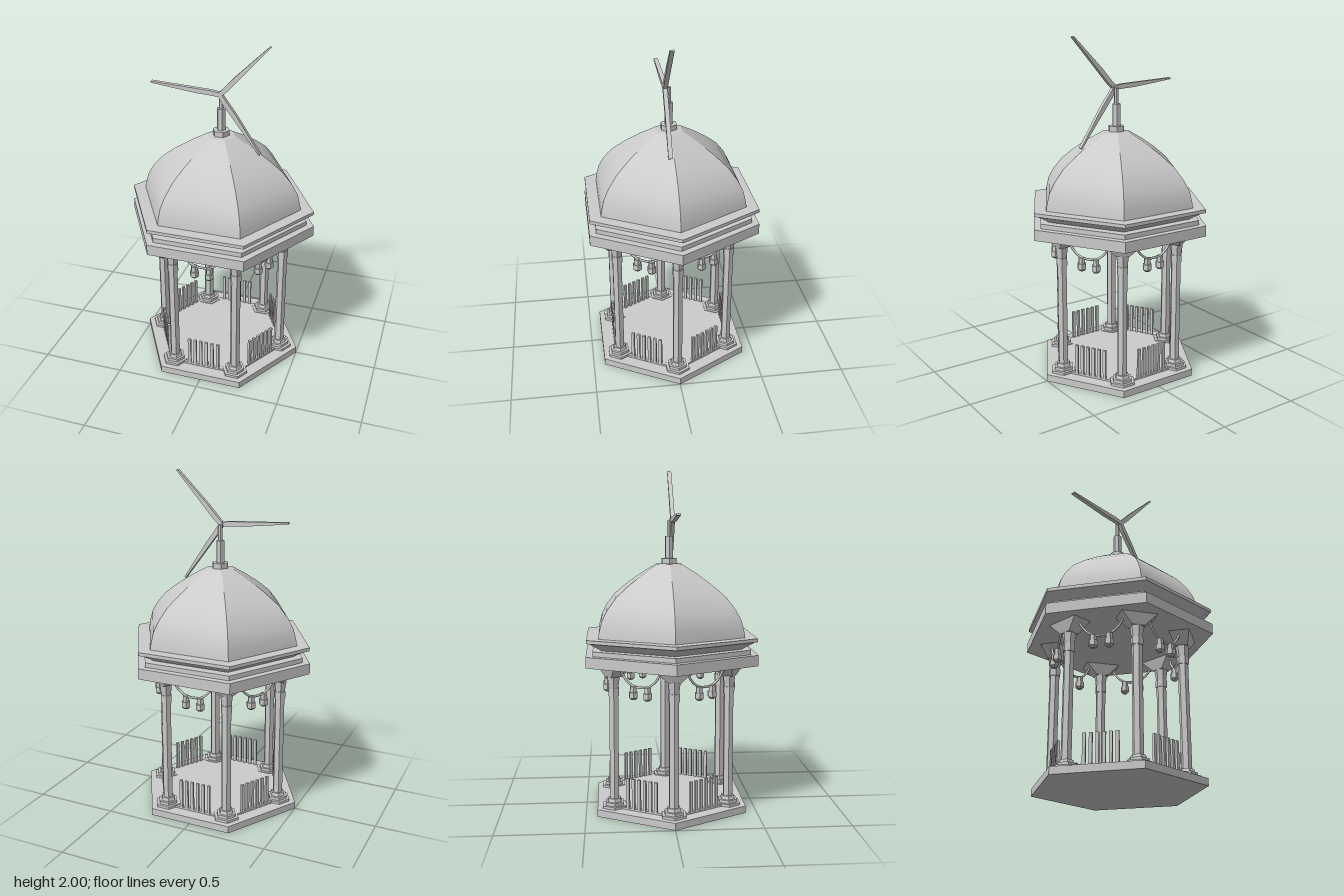
import * as THREE from 'three';
import { toCreasedNormals } from 'three/addons/utils/BufferGeometryUtils.js';

const flat = new THREE.MeshStandardMaterial({ color: 0xcccccc, flatShading: true });
const smooth = new THREE.MeshStandardMaterial({ color: 0xcccccc });

function add(parent, name, geometry, material = flat) {
  const mesh = new THREE.Mesh(geometry, material);
  mesh.name = name;
  parent.add(mesh);
  return mesh;
}

// Hexagonal prism or frustum with corners on the x axis
function hex(parent, name, rBottom, rTop, y0, y1, x = 0, z = 0) {
  const g = new THREE.CylinderGeometry(rTop, rBottom, y1 - y0, 6, 1, false, Math.PI / 2);
  g.translate(x, (y0 + y1) / 2, z);
  return add(parent, name, g);
}

// Bracket block whose top is wider than its bottom
function flare(bottom, topX, topZ, y0, y1) {
  const g = new THREE.BoxGeometry(1, y1 - y0, 1);
  const p = g.attributes.position;
  for (let i = 0; i < p.count; i++) {
    const top = p.getY(i) > 0;
    p.setX(i, p.getX(i) * 2 * (top ? topX : bottom));
    p.setZ(i, p.getZ(i) * 2 * (top ? topZ : bottom));
  }
  return g.translate(0, (y0 + y1) / 2, 0);
}

// Column with stepped foot and flared capital; local x points outward
function column() {
  const c = new THREE.Group();
  c.name = 'column';
  hex(c, 'footLower', 0.078, 0.078, 0.04, 0.057);
  hex(c, 'footMiddle', 0.06, 0.06, 0.057, 0.075);
  hex(c, 'footUpper', 0.045, 0.04, 0.075, 0.095);
  hex(c, 'shaft', 0.03, 0.03, 0.095, 0.76);
  hex(c, 'neckRing', 0.035, 0.035, 0.705, 0.75);
  hex(c, 'collar', 0.031, 0.041, 0.75, 0.82);
  add(c, 'capital', flare(0.036, 0.06, 0.105, 0.815, 0.882));
  return c;
}

// Picket fence, garland and lanterns of one side; local z points outward
function bay() {
  const b = new THREE.Group();
  b.name = 'bay';
  for (let i = 0; i < 6; i++) {
    const x = (i - 2.5) * 0.036;
    add(b, 'picket', new THREE.BoxGeometry(0.018, 0.18, 0.014)).position.set(x, 0.14, 0.355);
  }
  const z = 0.368;
  const path = new THREE.CatmullRomCurve3(
    [[-0.135, 0.885], [-0.1, 0.82], [-0.05, 0.78], [0, 0.773], [0.05, 0.78], [0.1, 0.82], [0.135, 0.885]]
      .map(([x, y]) => new THREE.Vector3(x, y, z)));
  add(b, 'garland', new THREE.TubeGeometry(path, 16, 0.007, 6), smooth);
  for (const x of [-0.045, 0.045]) {
    hex(b, 'lanternCap', 0.02, 0.02, 0.742, 0.778, x, z);
    hex(b, 'lanternBody', 0.027, 0.027, 0.712, 0.744, x, z);
    hex(b, 'lanternBottom', 0.014, 0.026, 0.7, 0.712, x, z);
  }
  return b;
}

// Tapered rotor blade lying along +x, thick in z
function blade() {
  const s = new THREE.Shape([[0, -0.012], [0.06, -0.012], [0.14, -0.014], [0.408, -0.004],
    [0.408, 0.005], [0.05, 0.016], [0, 0.012]].map(([x, y]) => new THREE.Vector2(x, -y)));
  return new THREE.ExtrudeGeometry(s, { depth: 0.025, bevelEnabled: false });
}

export function createModel() {
  const model = new THREE.Group();
  model.name = 'pavilion';

  // Platform
  hex(model, 'platform', 0.5, 0.5, 0, 0.042);
  hex(model, 'floor', 0.415, 0.415, 0.04, 0.053);

  // Six columns at the corners and six bays between them
  for (let k = 0; k < 6; k++) {
    const a = k * Math.PI / 3;
    const c = column();
    c.position.set(0.385 * Math.cos(a), 0, -0.385 * Math.sin(a));
    c.rotation.y = a;
    const b = bay();
    b.rotation.y = a;
    model.add(c, b);
  }

  // Cornice
  hex(model, 'architrave', 0.565, 0.565, 0.88, 0.943);
  hex(model, 'frieze', 0.52, 0.52, 0.943, 0.97);
  hex(model, 'corniceFlare', 0.46, 0.55, 0.97, 1.02);
  hex(model, 'corniceRim', 0.56, 0.56, 1.018, 1.038);

  // Six-sided dome, smooth up each panel and sharp at the ribs
  const profile = [[0.483, 1.035], [0.478, 1.07], [0.46, 1.135], [0.425, 1.195], [0.365, 1.265],
    [0.28, 1.33], [0.18, 1.395], [0.085, 1.448], [0, 1.455]].map(([r, y]) => new THREE.Vector2(r, y));
  const dome = new THREE.LatheGeometry(profile, 6, Math.PI / 2);
  add(model, 'dome', toCreasedNormals(dome, 0.4), smooth);

  // Mast
  hex(model, 'mastFoot', 0.05, 0.05, 1.44, 1.482);
  hex(model, 'mastLower', 0.025, 0.025, 1.48, 1.61);
  hex(model, 'mastUpper', 0.014, 0.014, 1.6, 1.7);

  // Three-bladed rotor
  const rotor = new THREE.Group();
  rotor.name = 'rotor';
  rotor.position.set(0, 1.7, 0.009);
  for (const degrees of [46.6, 175.5, -54.6]) {
    add(rotor, 'blade', blade()).rotation.z = THREE.MathUtils.degToRad(degrees);
  }
  const hub = new THREE.CylinderGeometry(0.015, 0.015, 0.03, 6).rotateX(Math.PI / 2);
  add(rotor, 'hub', hub).position.z = 0.01;
  model.add(rotor);

  return model;
}
